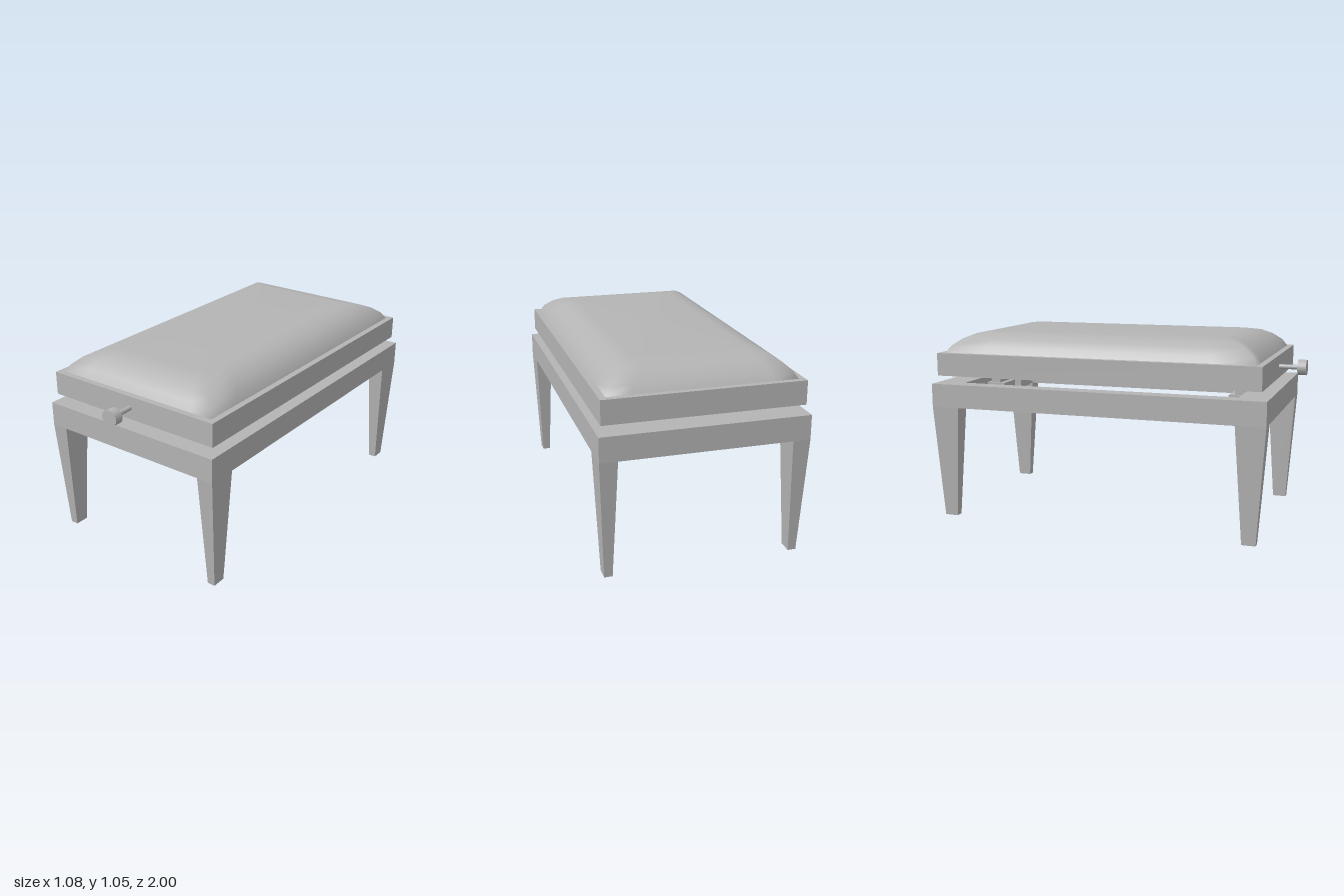
import * as THREE from 'three';

export function createModel() {
  const model = new THREE.Group();
  model.name = 'adjustableBench';
  const grey = new THREE.MeshStandardMaterial({ color: 0xb4b4b4 });
  grey.name = 'lightGrey';

  // Everything but the knob is symmetric about this centre
  const bench = new THREE.Group();
  bench.name = 'bench';
  bench.position.z = -0.06;
  model.add(bench);

  const add = (parent, name, geometry, x, y, z) => {
    const mesh = new THREE.Mesh(geometry, grey);
    mesh.name = name;
    mesh.position.set(x, y, z);
    parent.add(mesh);
    return mesh;
  };

  // Apron: rectangular ring joining the legs
  const rect = (path, hx, hz) => {
    path.moveTo(-hx, -hz);
    path.lineTo(hx, -hz);
    path.lineTo(hx, hz);
    path.lineTo(-hx, hz);
    path.closePath();
    return path;
  };
  const ring = rect(new THREE.Shape(), 0.538, 0.94);
  ring.holes.push(rect(new THREE.Path(), 0.446, 0.78));
  const apronGeometry = new THREE.ExtrudeGeometry(ring, { depth: 0.13, bevelEnabled: false });
  apronGeometry.rotateX(-Math.PI / 2);
  add(bench, 'apron', apronGeometry, 0, 0.63, 0);

  // Legs: boxes tapered toward the floor
  const legGeometry = new THREE.BoxGeometry(0.092, 0.63, 0.16);
  const p = legGeometry.attributes.position;
  for (let i = 0; i < p.count; i++) {
    if (p.getY(i) < 0) {
      p.setX(i, p.getX(i) * 0.47);
      p.setZ(i, p.getZ(i) * 0.47);
    }
  }
  legGeometry.computeVertexNormals();

  for (const sx of [-1, 1]) {
    for (const sz of [-1, 1]) {
      add(bench, sz > 0 ? 'frontLeg' : 'backLeg', legGeometry, sx * 0.492, 0.315, sz * 0.86);
      // Lift supports: narrow stem on a wider foot
      add(bench, 'supportStem', new THREE.BoxGeometry(0.11, 0.09, 0.056), sx * 0.111, 0.765, sz * 0.73);
      add(bench, 'supportFoot', new THREE.BoxGeometry(0.14, 0.06, 0.11), sx * 0.111, 0.695, sz * 0.725);
    }
  }

  // Seat frame
  add(bench, 'seatFrame', new THREE.BoxGeometry(1.04, 0.126, 1.82), 0, 0.868, 0);

  // Cushion: stacked rectangles [inset, height], each side split for smooth shading
  const profile = [[0, 0.93], [0.023, 0.969], [0.066, 1.007], [0.118, 1.034], [0.187, 1.047]];
  const corners = [[-1, 1], [1, 1], [1, -1], [-1, -1]];
  const steps = 8, count = steps * 4;
  const positions = [], index = [];
  for (const [inset, y] of profile) {
    for (let k = 0; k < count; k++) {
      const a = corners[Math.floor(k / steps)];
      const b = corners[(Math.floor(k / steps) + 1) % 4];
      const t = (k % steps) / steps;
      positions.push(
        (a[0] + (b[0] - a[0]) * t) * (0.487 - inset), y,
        (a[1] + (b[1] - a[1]) * t) * (0.877 - inset * 1.18));
    }
  }
  for (let r = 0; r < profile.length - 1; r++) {
    for (let k = 0; k < count; k++) {
      const a = r * count + k, b = r * count + (k + 1) % count;
      index.push(a, b, b + count, a, b + count, a + count);
    }
  }
  // Flat top as a fan
  const centre = positions.length / 3, last = (profile.length - 1) * count;
  positions.push(0, 1.047, 0);
  for (let k = 0; k < count; k++) index.push(last + k, last + (k + 1) % count, centre);
  const cushionGeometry = new THREE.BufferGeometry();
  cushionGeometry.setAttribute('position', new THREE.Float32BufferAttribute(positions, 3));
  cushionGeometry.setIndex(index);
  cushionGeometry.computeVertexNormals();
  add(bench, 'cushion', cushionGeometry, 0, 0, 0);

  // Height knob on its shaft
  const shaft = new THREE.CylinderGeometry(0.013, 0.013, 0.13, 12);
  shaft.rotateX(Math.PI / 2);
  add(model, 'knobShaft', shaft, 0, 0.867, 0.9);
  const knob = new THREE.CylinderGeometry(0.045, 0.045, 0.046, 16);
  knob.rotateX(Math.PI / 2);
  add(model, 'knob', knob, 0, 0.867, 0.977).scale.set(1.04, 0.94, 1);

  return model;
}
